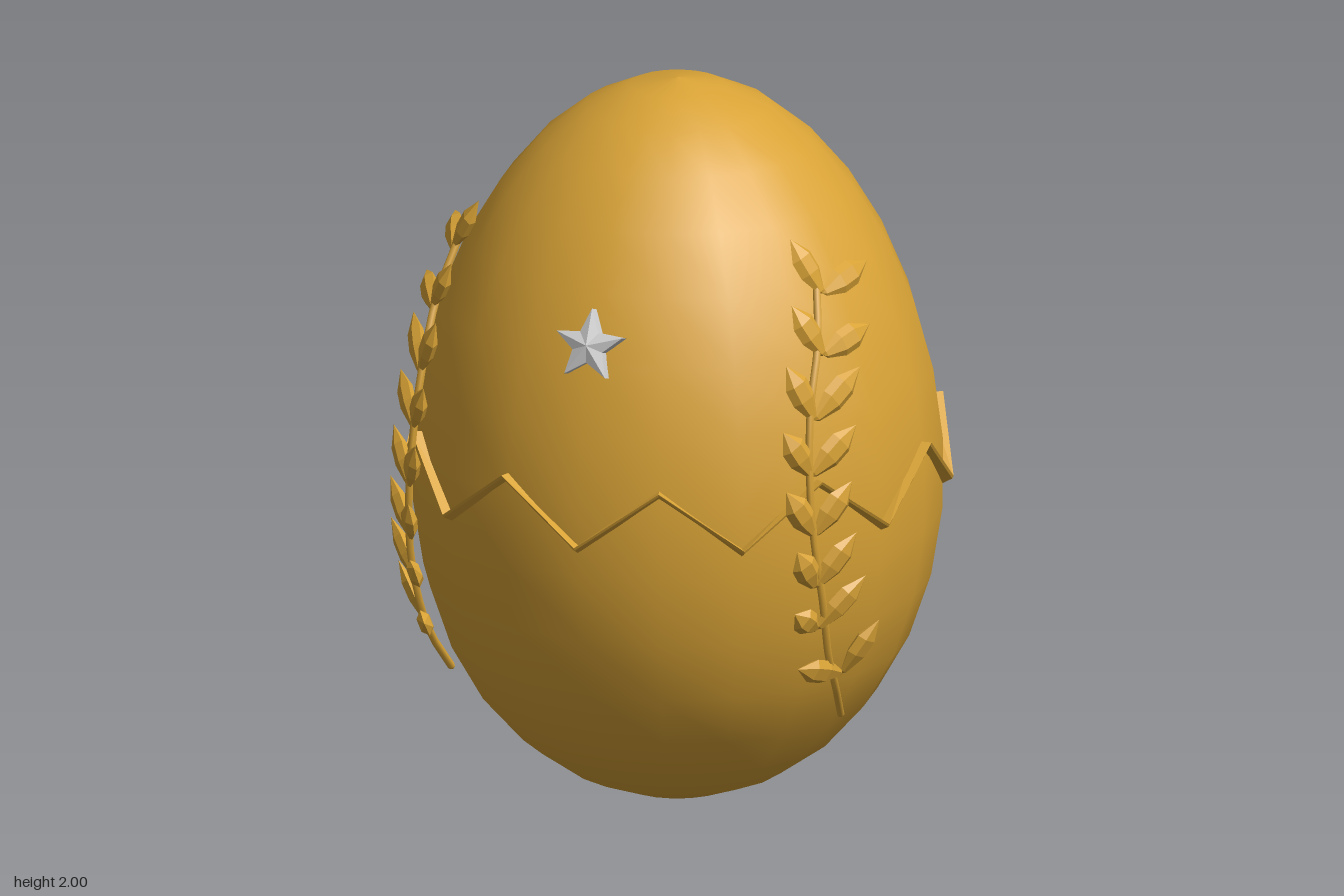
import * as THREE from 'three';

const gold = new THREE.MeshStandardMaterial({ color: 0xd9a336 });
gold.name = 'gold';
const silver = new THREE.MeshStandardMaterial({ color: 0xd2d2d2 });
silver.name = 'silver';

// Egg radius at height y: a sphere tapered towards the top
const eggRadius = (y) => 0.713 * Math.sqrt(Math.max(0, 1 - (y - 1) ** 2)) * (1 - 0.09 * (y - 1));

// Point on the flank at given z and y, lifted off the egg; s picks the side
function onFlank(s, z, y, lift) {
  const r = eggRadius(y) + lift;
  return new THREE.Vector3(s * Math.sqrt(r * r - z * z), y, z);
}

function part(name, geometry, material, parent) {
  const mesh = new THREE.Mesh(geometry, material);
  mesh.name = name;
  parent.add(mesh);
  return mesh;
}

function faceted(geometry) {
  const g = geometry.toNonIndexed();
  g.computeVertexNormals();
  return g;
}

function eggGeometry() {
  const profile = [];
  for (let i = 0; i <= 16; i++) {
    const y = 1 - Math.cos((i / 16) * Math.PI);
    profile.push(new THREE.Vector2(eggRadius(y), y));
  }
  return new THREE.LatheGeometry(profile, 20);
}

// Zigzag crack: a wedge section swept round the egg, low and high by turns
function crackGeometry() {
  const n = 20, pos = [], idx = [];
  for (let i = 0; i < n; i++) {
    const a = (i / n) * Math.PI * 2;
    const y = i % 2 ? 1.06 : 0.895;
    const r = eggRadius(y);
    for (const [dr, dy] of [[-0.02, 0], [0.026, 0], [0.022, -0.008], [-0.02, -0.03]]) {
      pos.push(Math.sin(a) * (r + dr), y + dy, Math.cos(a) * (r + dr));
    }
    const j = (i + 1) % n;
    for (let k = 0; k < 4; k++) {
      const l = (k + 1) % 4;
      const p = i * 4 + k, q = i * 4 + l, u = j * 4 + k, v = j * 4 + l;
      idx.push(p, q, u, q, v, u);
    }
  }
  const g = new THREE.BufferGeometry();
  g.setAttribute('position', new THREE.Float32BufferAttribute(pos, 3));
  g.setIndex(idx);
  return faceted(g);
}

// Leaf of unit length along y, flattened in z
function leafGeometry() {
  const profile = [[0, 0], [0.012, 0.05], [0.036, 0.38], [0.036, 0.66], [0, 1]];
  const g = new THREE.LatheGeometry(profile.map(([x, y]) => new THREE.Vector2(x, y)), 6, Math.PI / 6);
  g.scale(1, 1, 0.55);
  return faceted(g);
}

// Five-pointed star with a raised centre
function starGeometry() {
  const g = new THREE.CylinderGeometry(0.1, 0.1, 0.034, 10, 1);
  const p = g.attributes.position;
  for (let i = 0; i < p.count; i++) {
    const x = p.getX(i), z = p.getZ(i);
    if (Math.hypot(x, z) < 0.01) {
      p.setY(i, p.getY(i) * 1.9);
    } else if (Math.abs(Math.round(Math.atan2(x, z) / (Math.PI / 5))) % 2 === 0) {
      p.setX(i, x * 0.45);
      p.setZ(i, z * 0.45);
    }
  }
  g.rotateX(Math.PI / 2);
  return faceted(g);
}

// Leaf pairs: node z, y; front tip z, y; rear tip z, y
const leafPairs = [
  [0.285, 1.54, 0.307, 1.69, 0.116, 1.59],
  [0.355, 1.39, 0.40, 1.535, 0.21, 1.445],
  [0.43, 1.23, 0.475, 1.39, 0.29, 1.35],
  [0.465, 1.085, 0.53, 1.22, 0.35, 1.205],
  [0.47, 0.92, 0.55, 1.06, 0.39, 1.06],
  [0.46, 0.77, 0.535, 0.89, 0.386, 0.915],
  [0.434, 0.645, 0.524, 0.71, 0.35, 0.785],
  [0.31, 0.487, 0.476, 0.54, 0.275, 0.64],
];

function branch(s, leafGeo) {
  const group = new THREE.Group();
  group.name = s > 0 ? 'leftBranch' : 'rightBranch';

  // Stem
  const path = [[0.225, 0.345], [0.315, 0.455], [0.375, 0.55], [0.434, 0.72], [0.473, 0.93],
    [0.467, 1.11], [0.43, 1.27], [0.36, 1.42], [0.28, 1.58]];
  const curve = new THREE.CatmullRomCurve3(path.map(([z, y]) => onFlank(s, z, y, 0.035)));
  part('stem', new THREE.TubeGeometry(curve, 24, 0.011, 6), gold, group);
  const foot = part('stemEnd', new THREE.SphereGeometry(0.011, 6, 4), gold, group);
  foot.position.copy(curve.getPoint(0));

  // Leaves
  for (const [bz, by, fz, fy, rz, ry] of leafPairs) {
    const base = onFlank(s, bz, by, 0.035);
    for (const [z, y] of [[fz, fy], [rz, ry]]) {
      const dir = onFlank(s, z, y, 0.06).sub(base);
      const length = dir.length();
      dir.normalize();
      const out = new THREE.Vector3(base.x, (by - 1) * 0.5, base.z).normalize();
      const side = new THREE.Vector3().crossVectors(dir, out).normalize();
      const normal = new THREE.Vector3().crossVectors(side, dir);
      const leaf = part('leaf', leafGeo, gold, group);
      leaf.quaternion.setFromRotationMatrix(new THREE.Matrix4().makeBasis(side, dir, normal));
      leaf.position.copy(base);
      leaf.scale.set(1, length, 1);
    }
  }
  return group;
}

export function createModel() {
  const model = new THREE.Group();
  model.name = 'decoratedEgg';
  part('eggShell', eggGeometry(), gold, model);
  part('zigzagCrack', crackGeometry(), gold, model);

  const star = part('star', starGeometry(), silver, model);
  star.position.set(0, 1.43, 0.625);
  star.rotation.x = -0.3;

  const leafGeo = leafGeometry();
  model.add(branch(1, leafGeo), branch(-1, leafGeo));
  return model;
}
